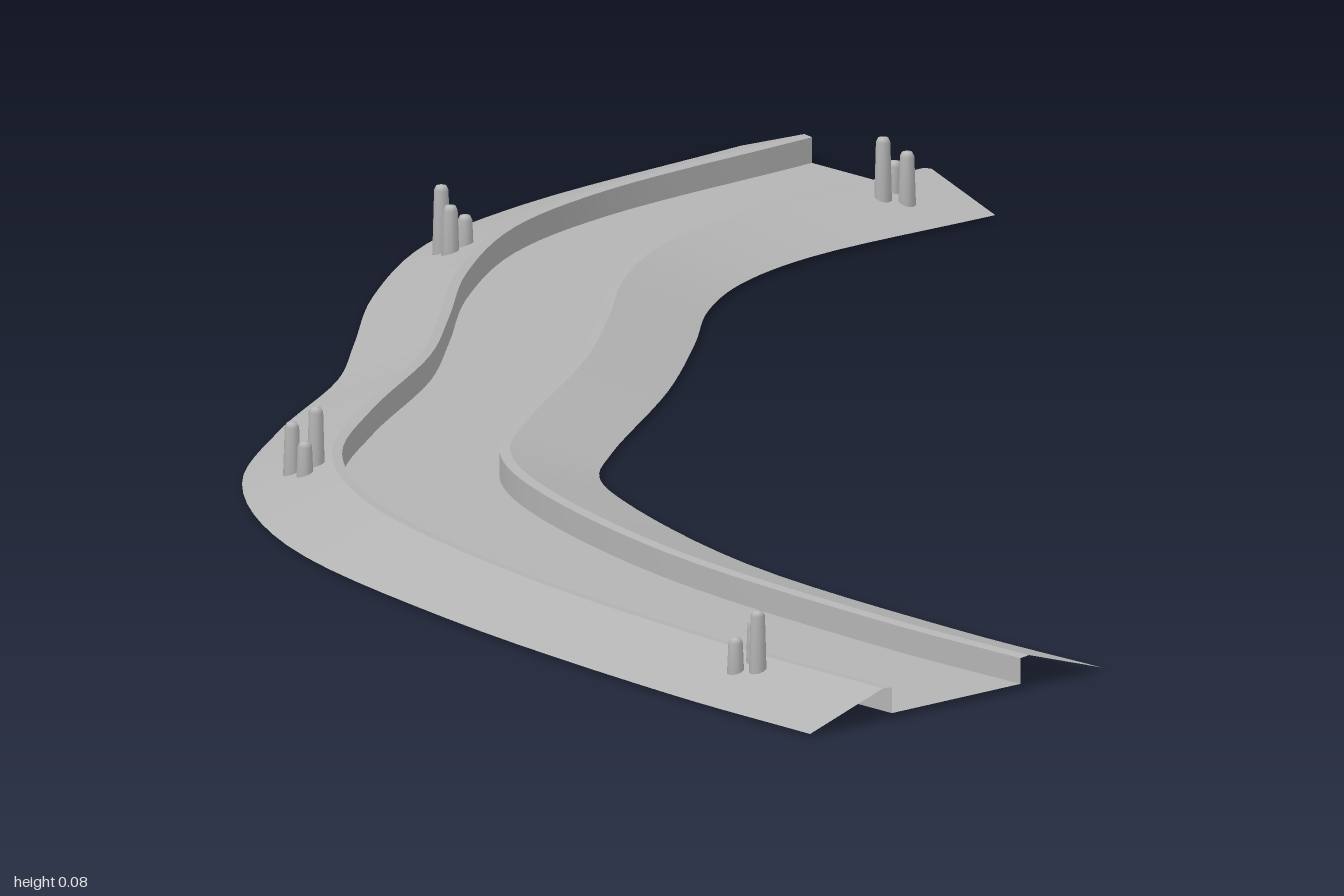
import * as THREE from 'three';

// Paired left and right outer edge points along the winding channel (x, z)
const EDGE_L = [[0.12, -1], [-0.075, -0.81], [-0.165, -0.68], [-0.22, -0.5], [-0.243, -0.34], [-0.262, -0.22],
  [-0.32, -0.05], [-0.36, 0.13], [-0.33, 0.34], [-0.205, 0.59], [-0.02, 0.86], [0.095, 1]];
const EDGE_R = [[0.33, -0.755], [0.165, -0.62], [0.1, -0.53], [0.068, -0.44], [0.052, -0.33], [0.022, -0.17],
  [-0.036, 0.04], [-0.05, 0.12], [-0.033, 0.2], [0.065, 0.42], [0.24, 0.655], [0.357, 0.785]];
const STEPS = 66;
const curve = (pts) => new THREE.CatmullRomCurve3(pts.map(([x, z]) => new THREE.Vector3(x, 0, z)));

// Strip between two cross-section points, each [fraction across, height]
function ribbon(left, right, from, to) {
  const pos = [], index = [];
  for (let i = 0; i <= STEPS; i++) {
    const l = left.getPoint(i / STEPS), r = right.getPoint(i / STEPS);
    for (const [f, y] of [from, to]) {
      const p = l.clone().lerp(r, f);
      pos.push(p.x, y, p.z);
    }
    if (i < STEPS) {
      const a = i * 2;
      index.push(a, a + 2, a + 1, a + 1, a + 2, a + 3);
    }
  }
  const g = new THREE.BufferGeometry();
  g.setAttribute('position', new THREE.Float32BufferAttribute(pos, 3));
  g.setIndex(index);
  g.computeVertexNormals();
  return g;
}

export function createModel() {
  const model = new THREE.Group();
  model.name = 'windingChannel';
  const grey = new THREE.MeshStandardMaterial({ color: 0xb4b4b4, side: THREE.DoubleSide });
  grey.name = 'grey';

  const left = curve(EDGE_L), right = curve(EDGE_R);
  const add = (name, geometry, parent = model) => {
    const m = new THREE.Mesh(geometry, grey);
    m.name = name;
    parent.add(m);
    return m;
  };

  // Cross-section, left to right: slope, narrow crest, wall, bed, then mirrored
  const half = [[0, 0.003], [0.25, 0.029], [0.28, 0.028], [0.28, 0.005]];
  const section = [...half, ...half.map(([f, y]) => [1 - f, y]).reverse()];
  const names = ['rightBankSlope', 'rightBankCrest', 'rightBankWall', 'bed',
    'leftBankWall', 'leftBankCrest', 'leftBankSlope'];
  names.forEach((name, i) => add(name, ribbon(left, right, section[i], section[i + 1])));

  // Clusters of three round-topped posts: x, z, turn in degrees
  const clusters = [[0.243, -0.755, 150], [-0.147, -0.595, -140], [-0.307, 0.153, -30], [0.049, 0.845, 55]];
  const posts = [[0.076, 0], [0.063, -120], [0.05, 120]];
  for (const [x, z, turn] of clusters) {
    const cluster = new THREE.Group();
    cluster.name = 'postCluster';
    cluster.position.set(x, 0, z);
    for (const [h, offset] of posts) {
      const profile = [[0, 0], [0.0085, 0], [0.0065, h - 0.005], [0.0045, h - 0.001], [0, h]]
        .map(([r, y]) => new THREE.Vector2(r, y));
      const a = THREE.MathUtils.degToRad(turn + offset);
      add('post', new THREE.LatheGeometry(profile, 10), cluster)
        .position.set(Math.cos(a) * 0.012, 0, Math.sin(a) * 0.012);
    }
    model.add(cluster);
  }
  return model;
}
